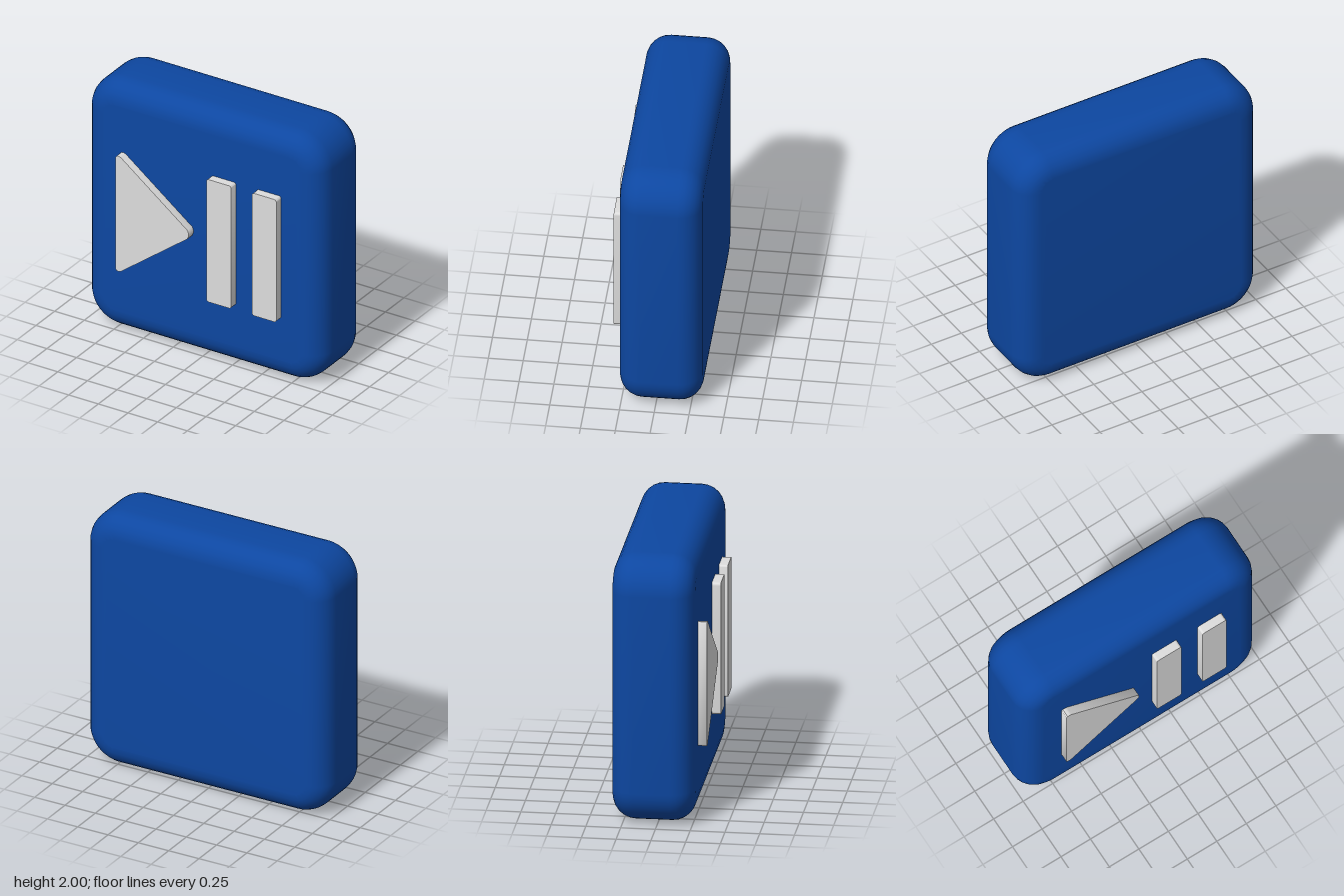
import * as THREE from 'three';
import { toCreasedNormals } from 'three/addons/utils/BufferGeometryUtils.js';

const blue = new THREE.MeshStandardMaterial({ color: 0x0d47a1 });
blue.name = 'buttonBlue';
const grey = new THREE.MeshStandardMaterial({ color: 0xdddddd });
grey.name = 'symbolGrey';

const FRONT = 0.265, BACK = -0.33, SYMBOL_FRONT = 0.33;

// Rounded rectangle between two corners
function roundedRect(x0, y0, x1, y1, r) {
  const s = new THREE.Shape();
  s.absarc(x1 - r, y1 - r, r, 0, Math.PI / 2);
  s.absarc(x0 + r, y1 - r, r, Math.PI / 2, Math.PI);
  s.absarc(x0 + r, y0 + r, r, Math.PI, Math.PI * 1.5);
  s.absarc(x1 - r, y0 + r, r, Math.PI * 1.5, Math.PI * 2);
  return s;
}

// Raised symbol standing on the front face
function raised(name, shape) {
  const base = FRONT - 0.02;
  const geo = new THREE.ExtrudeGeometry(shape, {
    depth: SYMBOL_FRONT - base, bevelEnabled: false, curveSegments: 4,
  });
  geo.translate(0, 0, base);
  const mesh = new THREE.Mesh(toCreasedNormals(geo, 0.7), grey);
  mesh.name = name;
  return mesh;
}

export function createModel() {
  const group = new THREE.Group();
  group.name = 'playPauseButton';

  // Pillowed square body: small corner radius plus a round bevel all around
  const bevel = 0.165;
  const bodyGeo = new THREE.ExtrudeGeometry(
    roundedRect(-1 + bevel, bevel, 1 - bevel, 2 - bevel, 0.1),
    {
      depth: FRONT - BACK - 2 * bevel, bevelThickness: bevel, bevelSize: bevel,
      bevelSegments: 6, curveSegments: 5,
    },
  );
  bodyGeo.translate(0, 0, BACK + bevel);
  const body = new THREE.Mesh(toCreasedNormals(bodyGeo, 0.9), blue);
  body.name = 'buttonBody';
  group.add(body);

  // Play triangle with softened corners, mirrored about y = 1
  const half = [[-0.07, 0.01], [-0.08, 0.035], [-0.64, 0.462], [-0.655, 0.468], [-0.675, 0.468], [-0.685, 0.455]];
  const outline = [
    ...half.map(([x, y]) => new THREE.Vector2(x, 1 + y)),
    ...half.slice().reverse().map(([x, y]) => new THREE.Vector2(x, 1 - y)),
  ];
  group.add(raised('playTriangle', new THREE.Shape(outline)));

  // Pause bars
  group.add(raised('pauseBarInner', roundedRect(0.08, 0.505, 0.29, 1.5, 0.02)));
  group.add(raised('pauseBarOuter', roundedRect(0.465, 0.505, 0.67, 1.5, 0.02)));

  return group;
}
